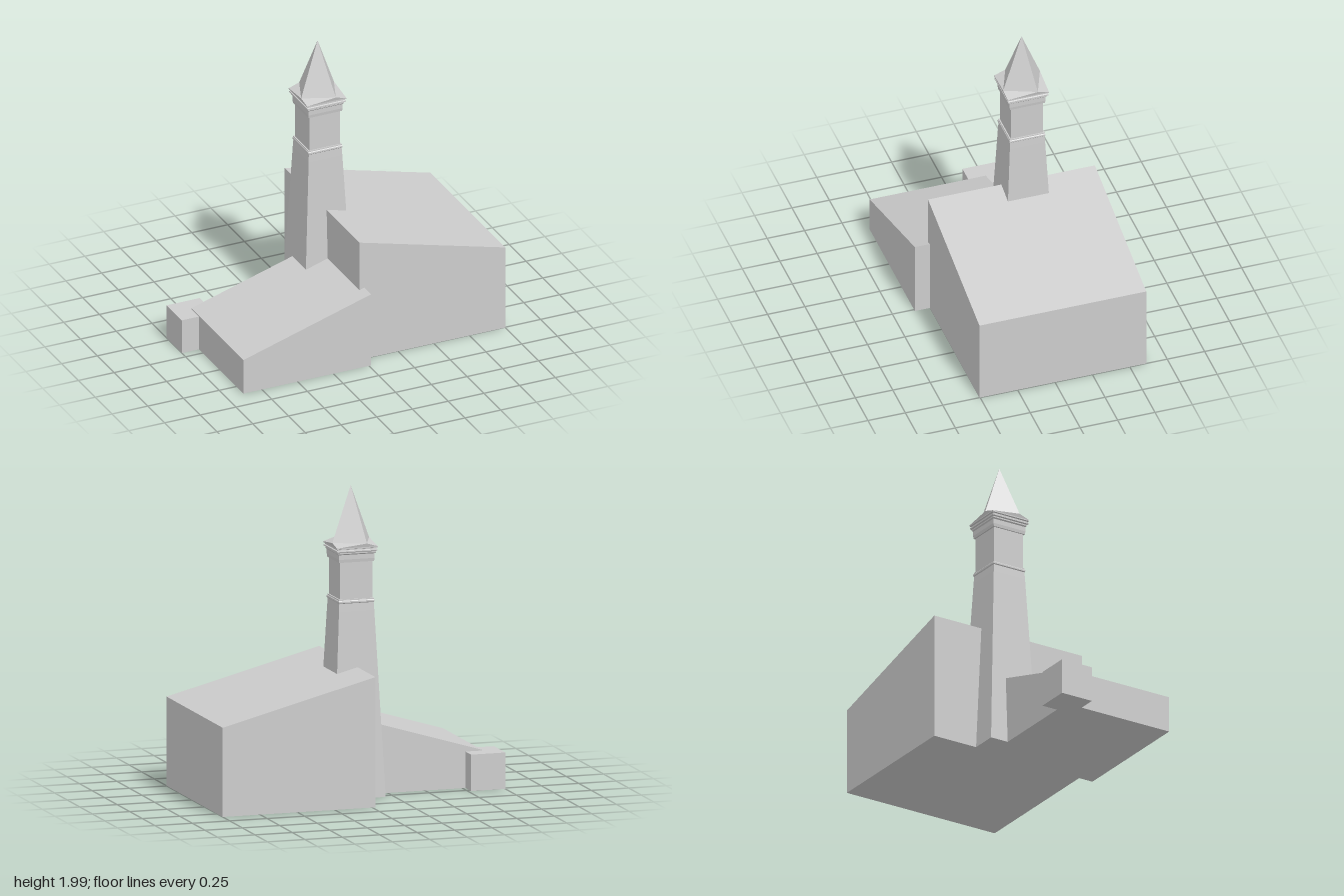
import * as THREE from 'three';

const stone = new THREE.MeshStandardMaterial({ color: 0xcccccc, flatShading: true });
stone.name = 'plain grey';

// Square loft around the y axis; each level is [half width, y, twist in degrees]
function squareLoft(levels) {
  const points = [], faces = [];
  for (const [half, y, twist = 0] of levels) {
    for (let i = 0; i < 4; i++) {
      const a = (45 + twist + i * 90) * Math.PI / 180;
      points.push(half * Math.SQRT2 * Math.cos(a), y, half * Math.SQRT2 * Math.sin(a));
    }
  }
  const last = levels.length - 1;
  for (let l = 0; l < last; l++) {
    for (let i = 0; i < 4; i++) {
      const a = l * 4 + i, b = l * 4 + (i + 1) % 4;
      faces.push(a, a + 4, b);
      if (levels[l + 1][0] > 0) faces.push(b, a + 4, b + 4);
    }
  }
  // Closed bottom, and a closed top unless it ends in a point
  faces.push(0, 1, 2, 0, 2, 3);
  const t = last * 4;
  if (levels[last][0] > 0) faces.push(t, t + 2, t + 1, t, t + 3, t + 2);
  const indexed = new THREE.BufferGeometry();
  indexed.setAttribute('position', new THREE.Float32BufferAttribute(points, 3));
  indexed.setIndex(faces);
  const geometry = indexed.toNonIndexed();
  geometry.computeVertexNormals();
  return geometry;
}

// Block with a roof sloping along x, from height h0 at x0 to h1 at x1
function shedBlock(x0, x1, h0, h1, z0, z1) {
  const side = new THREE.Shape();
  side.moveTo(x0, 0);
  side.lineTo(x1, 0);
  side.lineTo(x1, h1);
  side.lineTo(x0, h0);
  side.closePath();
  const geometry = new THREE.ExtrudeGeometry(side, { depth: z1 - z0, bevelEnabled: false });
  return geometry.translate(0, 0, z0);
}

export function createModel() {
  const model = new THREE.Group();
  model.name = 'towerBuilding';
  const add = (name, geometry, parent = model) => {
    const mesh = new THREE.Mesh(geometry, stone);
    mesh.name = name;
    parent.add(mesh);
  };

  // Buildings
  add('mainHall', shedBlock(-0.02, 1, 0.84, 0.575, -0.61, 0.505));
  add('sideHall', shedBlock(-0.88, 0.015, 0.24, 0.51, -0.17, 0.605));
  add('annex', shedBlock(-1, -0.77, 0.235, 0.235, -0.28, -0.055));

  // Tower
  const tower = new THREE.Group();
  tower.name = 'tower';
  tower.position.set(-0.02, 0, -0.12);
  model.add(tower);

  add('towerShaft', squareLoft([[0.175, 0], [0.118, 1.2], [0.115, 1.25]]), tower);
  add('stringCourse', squareLoft([
    [0.115, 1.25], [0.12, 1.255], [0.12, 1.265], [0.116, 1.27], [0.116, 1.277],
  ]), tower);
  add('belfry', squareLoft([[0.108, 1.277], [0.108, 1.515]]), tower);
  add('cornice', squareLoft([
    [0.117, 1.515], [0.12, 1.535], [0.12, 1.565], [0.127, 1.572], [0.127, 1.58],
    [0.135, 1.585], [0.135, 1.592], [0.128, 1.596], [0.128, 1.602], [0.135, 1.605],
  ]), tower);

  // Pointed roof, twisted out of line with its eaves
  add('spire', squareLoft([[0.137, 1.605], [0.137, 1.612], [0.11, 1.635, 22], [0, 1.99, 22]]), tower);

  return model;
}
